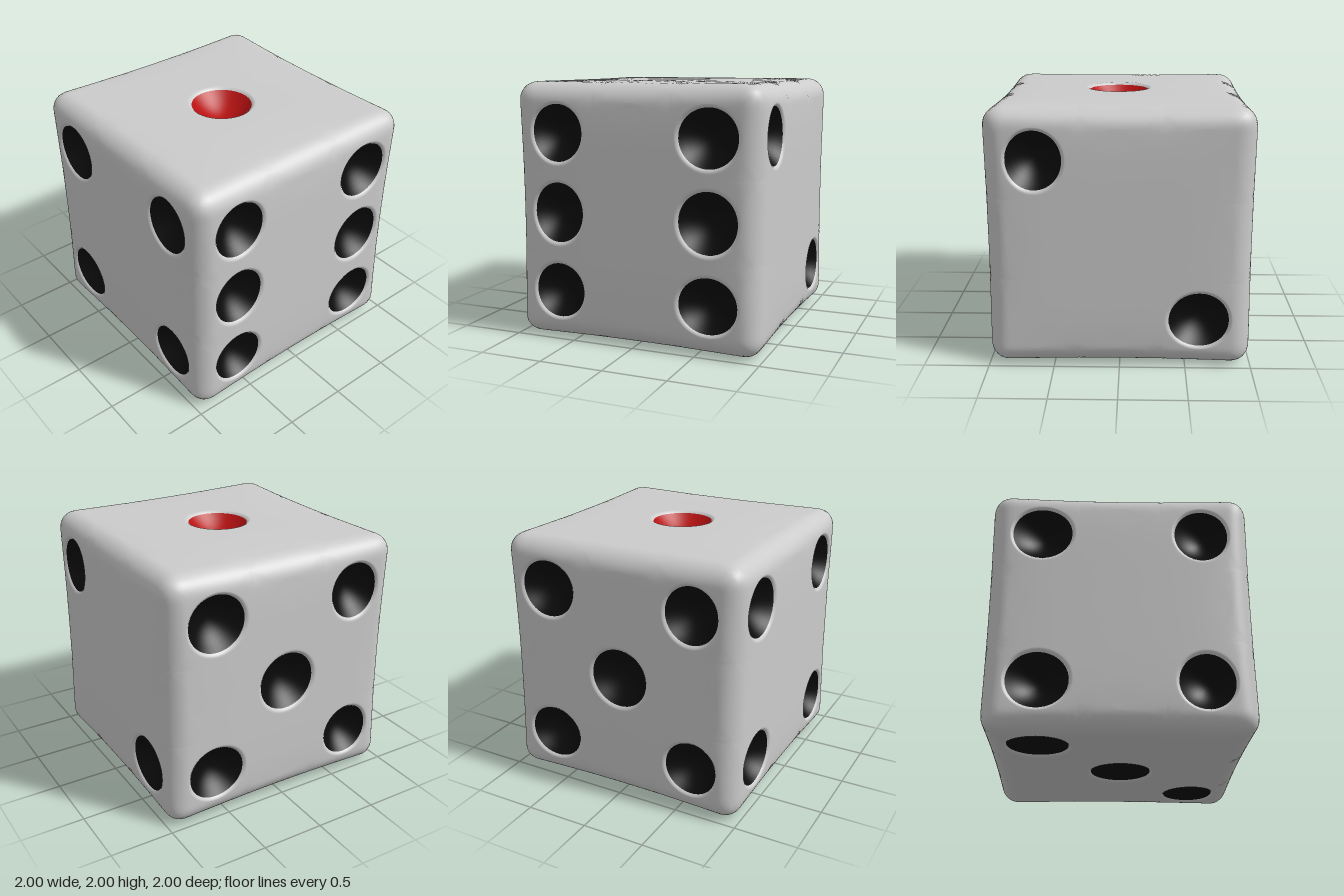
import * as THREE from 'three';
import { mergeVertices } from 'three/addons/utils/BufferGeometryUtils.js';

const ROUND = 0.15;               // edge radius
const SEG = 12;                   // samples per cell side
const LIP = 1.13, LIP_DEPTH = 0.018, BOWL_DEPTH = 0.138;
const BOUNDS = [-1, -0.31, 0.31, 1]; // each face is split into 3 x 3 cells

// pip centre and radius for low / middle / high cells, per axis (x, y, z)
const CENTRES = [[-0.6, 0.025, 0.622], [-0.615, 0, 0.612], [-0.6, 0.015, 0.62]];
const RADII = [[0.23, 0.233, 0.207], [0.216, 0.232, 0.222], [0.23, 0.233, 0.21]];

// faces: normal axis, sign, and pip cells [i, j] along the next two axes
const FACES = [
  { name: 'right', axis: 0, sign: 1, pips: ['00', '02', '10', '12', '20', '22'] },
  { name: 'left', axis: 0, sign: -1, pips: ['00', '02', '11', '20', '22'] },
  { name: 'top', axis: 1, sign: 1, pips: ['11'], color: 0xb81111 },
  { name: 'bottom', axis: 1, sign: -1, pips: ['02', '11', '20'] },
  { name: 'front', axis: 2, sign: 1, pips: ['00', '02', '20', '22'] },
  { name: 'back', axis: 2, sign: -1, pips: ['22', '00'] },
];

// face coordinates to a point on the softly rounded cube, sunk by depth
function surfacePoint(face, u, v, depth) {
  const a = face.axis, b = (a + 1) % 3, c = (a + 2) % 3;
  const p = [0, 0, 0];
  p[a] = face.sign; p[b] = u; p[c] = v;
  const lim = 1 - ROUND;
  const core = p.map((k) => Math.max(-lim, Math.min(lim, k)));
  const len = Math.hypot(...p.map((k, i) => k - core[i]));
  const q = p.map((k, i) => core[i] + ((k - core[i]) * ROUND) / len);
  // edges are drawn in slightly between the corners
  const out = q.map((k, i) => {
    let pull = 0;
    for (const d of [1, 2]) {
      const o = q[(i + d) % 3], r = q[(i + 3 - d) % 3];
      pull += Math.pow(Math.abs(k * o), 6) * (1 - r * r);
    }
    return k * (1 - 0.03 * pull);
  });
  out[a] -= face.sign * depth;
  out[1] += 1;
  return out;
}

// stitch rings (outside to inside) into triangles
function stitch(face, rings, positions) {
  const n = rings[0].length;
  const tri = (a, b, c) => positions.push(...a, ...(face.sign > 0 ? [...b, ...c] : [...c, ...b]));
  for (let i = 0; i < rings.length - 1; i++) {
    const A = rings[i], B = rings[i + 1], closed = i === rings.length - 2 && B.centre;
    for (let j = 0; j < n; j++) {
      const k = (j + 1) % n;
      tri(A[j], A[k], B[j]);
      if (!closed) tri(A[k], B[k], B[j]);
    }
  }
}

function toGeometry(positions) {
  const g = new THREE.BufferGeometry();
  g.setAttribute('position', new THREE.Float32BufferAttribute(positions, 3));
  const merged = mergeVertices(g, 1e-4);
  merged.computeVertexNormals();
  return merged;
}

// one cell: square border, circular lip and either a bowl or a flat middle
function buildCell(face, i, j, hasPip, body, bowl) {
  const b = (face.axis + 1) % 3, c = (face.axis + 2) % 3;
  const cu = CENTRES[b][i], cv = CENTRES[c][j], ru = RADII[b][i], rv = RADII[c][j];
  const u0 = BOUNDS[i], u1 = BOUNDS[i + 1], v0 = BOUNDS[j], v1 = BOUNDS[j + 1];
  const corners = [[u0, v0], [u1, v0], [u1, v1], [u0, v1]];
  const border = [];
  for (let s = 0; s < 4; s++) {
    const [p, q] = [corners[s], corners[(s + 1) % 4]];
    for (let k = 0; k < SEG; k++) {
      const t = k / SEG;
      border.push([p[0] + (q[0] - p[0]) * t, p[1] + (q[1] - p[1]) * t]);
    }
  }
  const circle = border.map(([u, v]) => {
    const ang = Math.atan2(v - cv, u - cu);
    return [cu + ru * Math.cos(ang), cv + rv * Math.sin(ang)];
  });
  const ring = (k, depth) => {
    const r = circle.map(([u, v]) => surfacePoint(face, cu + (u - cu) * k, cv + (v - cv) * k, depth));
    r.centre = k === 0;
    return r;
  };

  const outer = [];
  for (let s = 0; s < 7; s++) {
    const t = s / 7;
    outer.push(border.map(([u, v], n) => surfacePoint(face,
      u + (cu + (circle[n][0] - cu) * LIP - u) * t,
      v + (cv + (circle[n][1] - cv) * LIP - v) * t, 0)));
  }
  for (let s = 0; s <= 4; s++) {
    const t = s / 4;
    outer.push(ring(LIP + (1 - LIP) * t, hasPip ? LIP_DEPTH * t * t : 0));
  }
  if (!hasPip) outer.push(ring(0.5, 0), ring(0, 0));
  stitch(face, outer, body);

  if (hasPip) {
    const inner = [];
    for (let s = 0; s <= 7; s++) {
      const k = 1 - s / 7;
      inner.push(ring(k, LIP_DEPTH + BOWL_DEPTH * (1 - k * k)));
    }
    stitch(face, inner, bowl);
  }
}

export function createModel() {
  const model = new THREE.Group();
  model.name = 'die';
  const body = [];
  for (const face of FACES) {
    // hollow pips of this face
    const pips = new THREE.Group();
    pips.name = face.name + 'Pips';
    const material = new THREE.MeshStandardMaterial({ color: face.color ?? 0x0b0b0b });
    for (let i = 0; i < 3; i++) {
      for (let j = 0; j < 3; j++) {
        const hasPip = face.pips.includes(`${i}${j}`);
        const bowl = [];
        buildCell(face, i, j, hasPip, body, bowl);
        if (!hasPip) continue;
        const pip = new THREE.Mesh(toGeometry(bowl), material);
        pip.name = 'pip';
        pips.add(pip);
      }
    }
    model.add(pips);
  }
  // rounded cube with openings for the pips
  const cube = new THREE.Mesh(toGeometry(body), new THREE.MeshStandardMaterial({ color: 0xcccccc }));
  cube.name = 'body';
  model.add(cube);
  return model;
}
